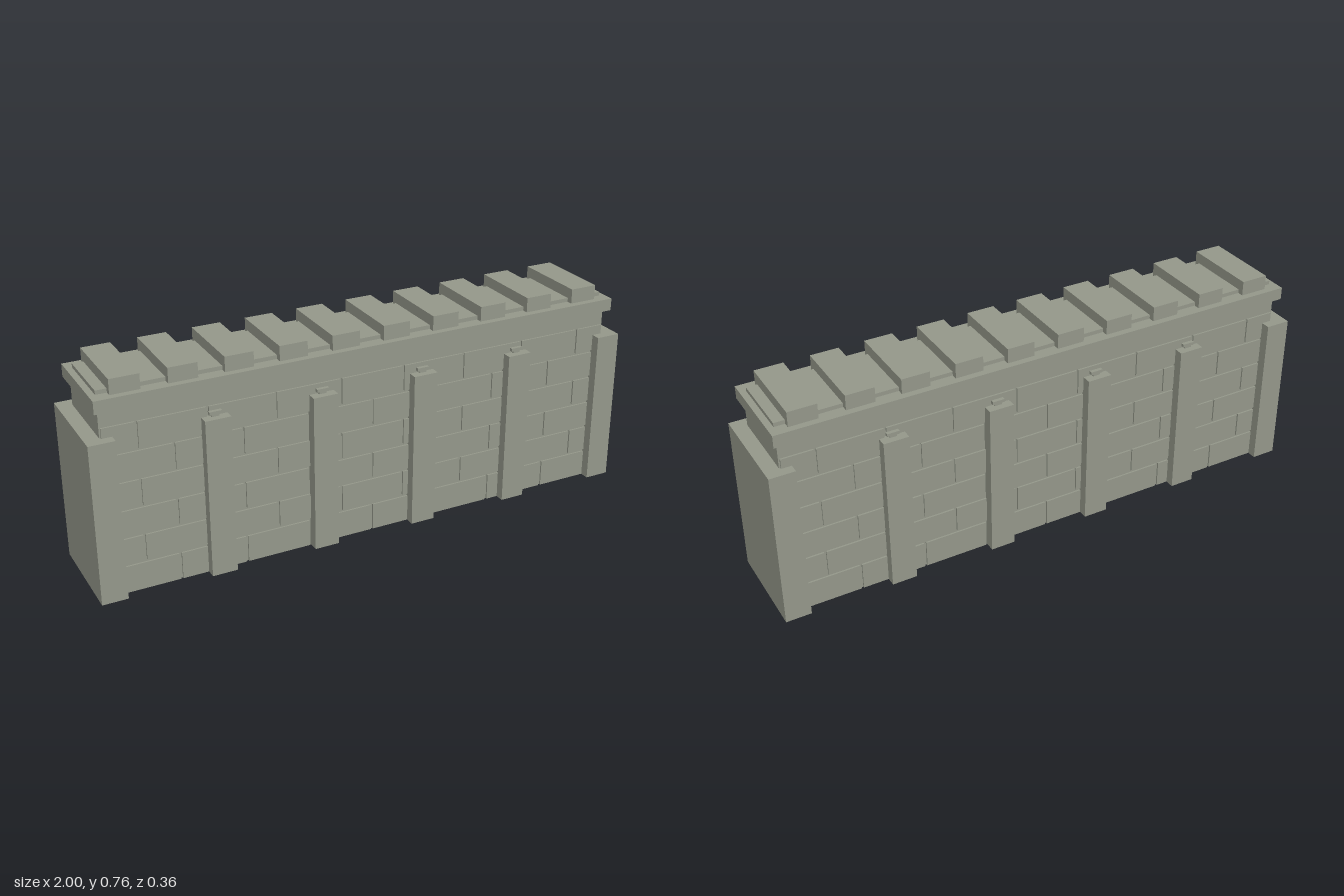
import * as THREE from 'three';

export function createModel() {
  const wall = new THREE.Group();
  wall.name = 'battlementWall';
  const stone = new THREE.MeshStandardMaterial({ color: 0x94978a });
  stone.name = 'stone';

  // box spanning the given limits
  const block = (name, x0, x1, y0, y1, z0, z1, parent = wall) => {
    const mesh = new THREE.Mesh(new THREE.BoxGeometry(x1 - x0, y1 - y0, z1 - z0), stone);
    mesh.position.set((x0 + x1) / 2, (y0 + y1) / 2, (z0 + z1) / 2);
    mesh.name = name;
    parent.add(mesh);
    return mesh;
  };

  // core, cornice and walkway
  block('core', -0.95, 0.95, 0, 0.666, -0.14, 0.14);
  block('cornice', -0.967, 0.967, 0.664, 0.709, -0.165, 0.165);
  block('walkway', -0.945, 0.945, 0.706, 0.723, -0.119, 0.119);

  // merlons across the top
  for (let i = 0; i < 10; i++) {
    const x = (i - 4.5) * 0.1905;
    block('merlon', x - 0.05, x + 0.05, 0.706, 0.762, -0.141, 0.141);
  }

  // end piers
  for (const s of [-1, 1]) {
    const x = s * 0.955;
    block('endPier', x - 0.045, x + 0.045, 0, 0.571, -0.18, 0.18);
  }

  // front and back faces: brick courses and pilasters with small caps
  const gap = 0.004, pitch = 0.238, rowHeight = 0.1015;
  for (const side of [1, -1]) {
    const face = new THREE.Group();
    face.name = side > 0 ? 'frontFace' : 'backFace';
    if (side < 0) face.rotation.y = Math.PI;
    wall.add(face);

    for (let row = 0; row < 6; row++) {
      const start = -0.95 - (row % 2 ? pitch / 2 : 0);
      for (let i = 0; i < 9; i++) {
        const x0 = Math.max(start + i * pitch + gap, -0.945);
        const x1 = Math.min(start + (i + 1) * pitch - gap, 0.945);
        if (x1 - x0 < 0.02) continue;
        const y0 = row * rowHeight + (row ? gap : 0);
        block('brick', x0, x1, y0, (row + 1) * rowHeight - gap, 0.138, 0.146, face);
      }
    }

    for (let i = 0; i < 4; i++) {
      const x = (i - 1.5) * 0.381;
      block('pilaster', x - 0.045, x + 0.045, 0, 0.571, 0.13, 0.18, face);
      block('capStem', x - 0.013, x + 0.013, 0.569, 0.582, 0.148, 0.157, face);
      block('cap', x - 0.022, x + 0.022, 0.579, 0.59, 0.147, 0.16, face);
    }
  }
  return wall;
}
